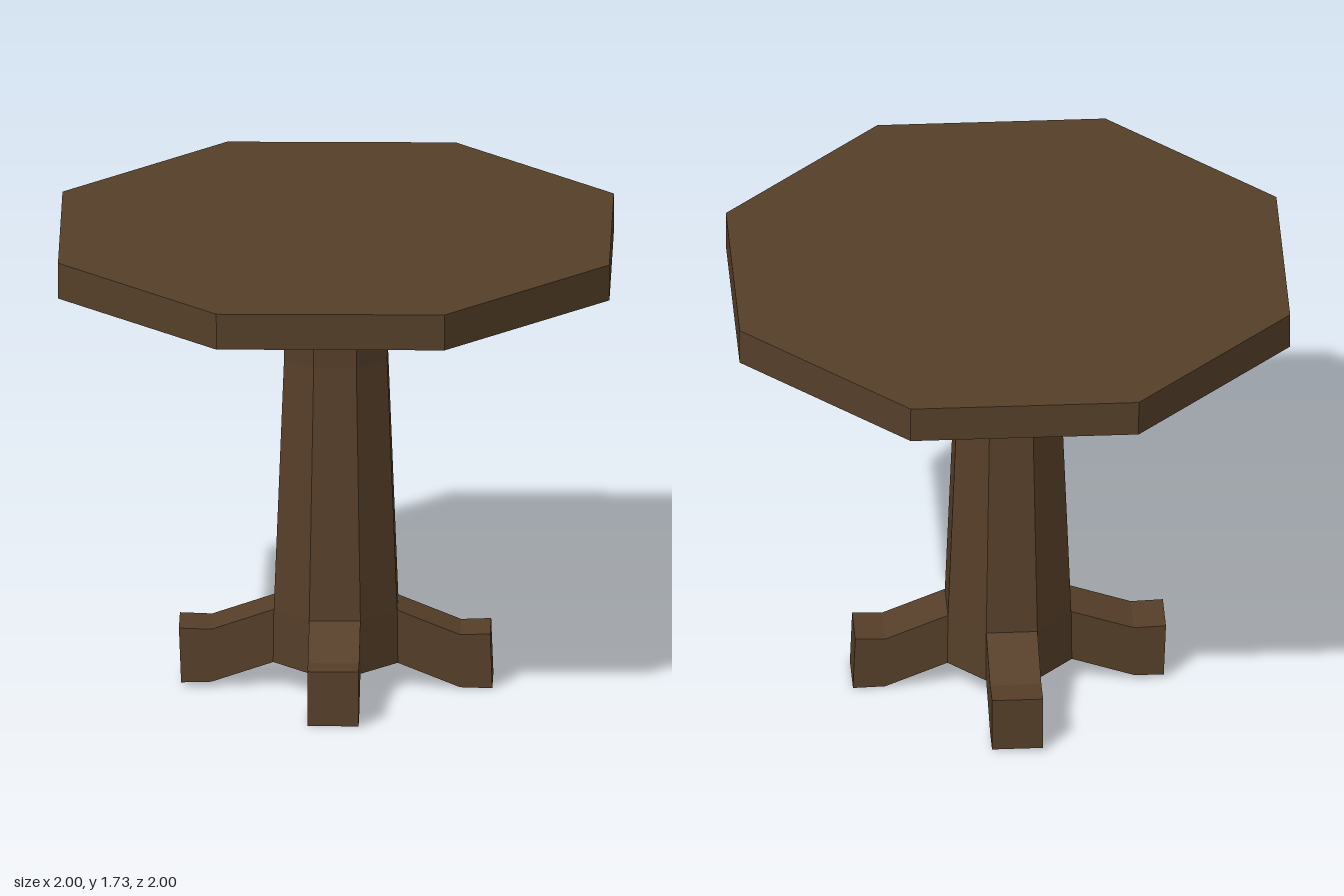
import * as THREE from 'three';

const wood = new THREE.MeshStandardMaterial({ color: 0x563f29, roughness: 0.9, flatShading: true });
const CORNER = 1 / Math.cos(Math.PI / 8); // flat-to-flat half width -> corner radius

// Octagonal prism section with flats facing the axes
function octagon(topHalf, bottomHalf, y0, y1, openEnded = false) {
  const g = new THREE.CylinderGeometry(topHalf * CORNER, bottomHalf * CORNER, y1 - y0, 8, 1, openEnded);
  g.rotateY(Math.PI / 8);
  g.translate(0, (y0 + y1) / 2, 0);
  return g;
}

function addMesh(parent, name, geometry) {
  const mesh = new THREE.Mesh(geometry, wood);
  mesh.name = name;
  parent.add(mesh);
  return mesh;
}

// Foot: side profile (distance outwards, height) extruded across its width
function footGeometry(reach, drop, lean) {
  const width = 0.186;
  const profile = [
    [0.15, 0.1], [0.225, 0.1], [reach - 0.113, drop], [reach + lean, drop - 0.003],
    [reach - lean, drop + 0.204], [reach - 0.113, drop + 0.2], [0.225, 0.3], [0.15, 0.3],
  ];
  const shape = new THREE.Shape(profile.map(([x, y]) => new THREE.Vector2(x, y)));
  const g = new THREE.ExtrudeGeometry(shape, { depth: width, bevelEnabled: false });
  g.translate(0, 0, -width / 2);
  return g;
}

export function createModel() {
  const table = new THREE.Group();
  table.name = 'pedestalTable';

  // Table top, lying very slightly out of level
  const top = addMesh(table, 'tableTop', octagon(1, 1, -0.0675, 0.0675));
  top.position.y = 1.658;
  top.rotation.set(0.005, 0, 0.003);

  // Column: tapering shaft with a slightly flared head
  const column = new THREE.Group();
  column.name = 'column';
  column.position.z = -0.004;
  table.add(column);
  const sections = [[0.1, 0.226], [0.3, 0.224], [1.25, 0.187], [1.6, 0.196]];
  for (let i = 0; i < sections.length - 1; i++) {
    const [y0, r0] = sections[i], [y1, r1] = sections[i + 1];
    addMesh(column, 'columnSection', octagon(r1, r0, y0, y1, i > 0));
  }

  // Four feet, each with its own small settling: name, turn, reach, underside height, lean
  const feet = [
    ['leftFoot', 0, 0.565, 0.008, 0.004],
    ['backFoot', Math.PI / 2, 0.571, 0.02, 0],
    ['rightFoot', Math.PI, 0.564, 0.023, -0.004],
    ['frontFoot', -Math.PI / 2, 0.561, 0.011, 0],
  ];
  for (const [name, turn, reach, drop, lean] of feet) {
    addMesh(column, name, footGeometry(reach, drop, lean)).rotation.y = turn;
  }
  return table;
}
